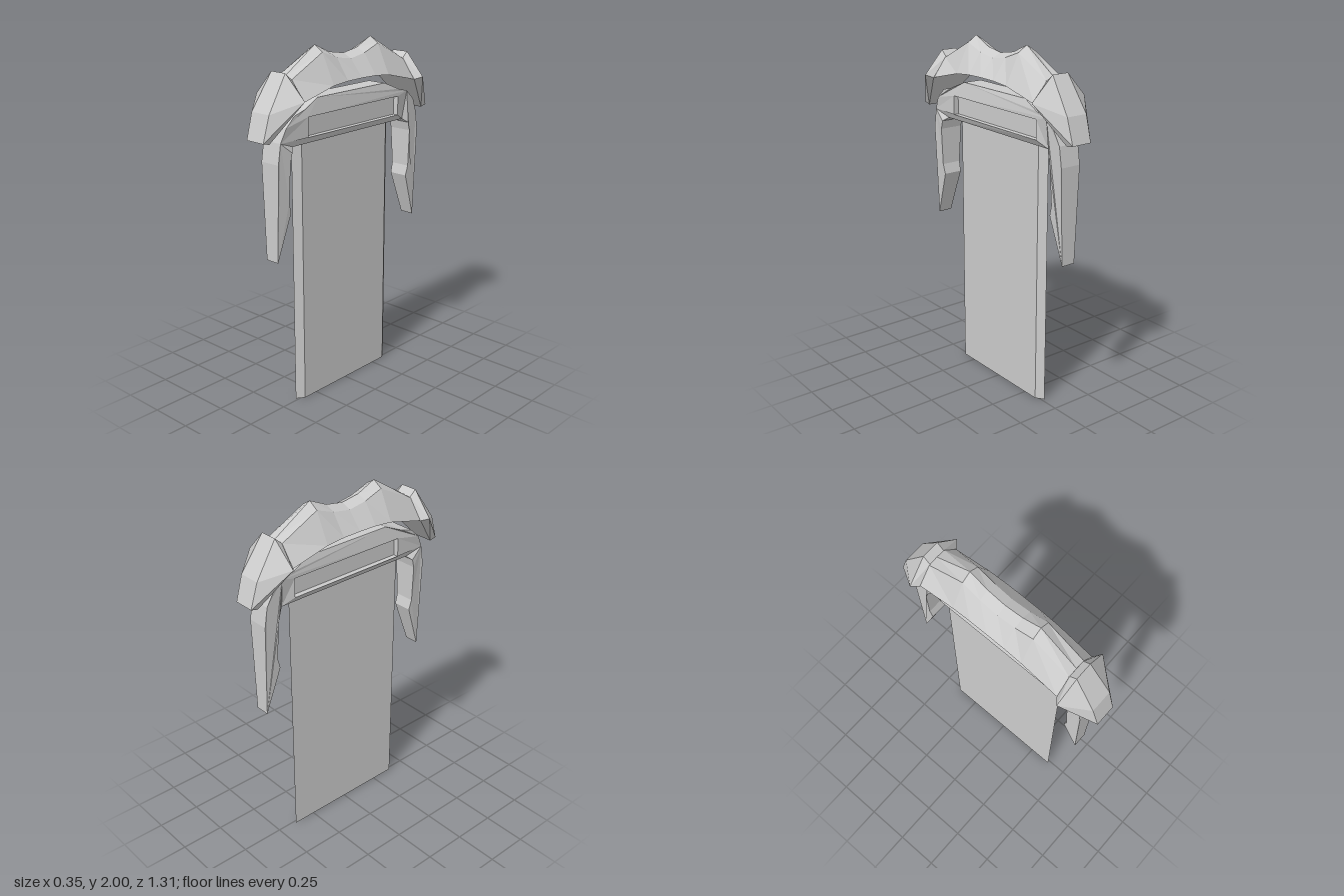
import * as THREE from 'three';
import { ConvexGeometry } from 'three/addons/geometries/ConvexGeometry.js';

const mat = new THREE.MeshStandardMaterial({ color: 0xcccccc, flatShading: true });

function part(name, geometry) {
  geometry.computeVertexNormals();
  const mesh = new THREE.Mesh(geometry, mat);
  mesh.name = name;
  return mesh;
}

const toShape = pts => new THREE.Shape(pts.map(([x, y]) => new THREE.Vector2(x, y)));

// Flat slab whose two long edges are ground from one side only
function bladeGeometry() {
  const plan = toShape([[-0.016, -0.387], [0.016, -0.343], [0.016, 0.343], [-0.016, 0.387]]);
  const g = new THREE.ExtrudeGeometry(plan, { depth: 1.56, bevelEnabled: false });
  return g.rotateX(-Math.PI / 2);
}

// Half thickness of the guard at a given height and distance from its middle
function guardHalf(y, d) {
  if (Math.abs(y - 1.503) < 0.005) return 0.045;   // chamfered underside
  if (y > 1.72) return 0.057;                      // narrowed top
  const t = THREE.MathUtils.clamp((y - 0.89) / 0.54, 0, 1);
  return 0.042 + (d > 0.54 ? 0.02 : 0.028) * t;    // arms taper to their tips
}

// Crescent guard with drooping arms and a long slot
function guardGeometry() {
  const mid = 0.01;
  const half = [
    [0.27, 1.737], [0.38, 1.69], [0.455, 1.67], [0.515, 1.615], [0.55, 1.54], [0.568, 1.43],
    [0.567, 0.893], [0.477, 1.155], [0.493, 1.213], [0.488, 1.43], [0.475, 1.48], [0.445, 1.503],
  ];
  const outline = [
    ...half.map(([s, y]) => [mid + s, y]),
    ...half.slice().reverse().map(([s, y]) => [mid - s, y]),
  ];
  const shape = toShape(outline);
  shape.holes.push(toShape([[-0.345, 1.54], [0.385, 1.54], [0.385, 1.648], [-0.345, 1.648]]));
  const g = new THREE.ExtrudeGeometry(shape, { depth: 2, bevelEnabled: false });
  g.translate(0, 0, -1);
  const p = g.attributes.position;
  for (let i = 0; i < p.count; i++) {
    p.setZ(i, p.getZ(i) * guardHalf(p.getY(i), Math.abs(p.getX(i) - mid)));
  }
  return g.rotateY(Math.PI / 2);
}

// Ridged bridge: five-cornered sections joined along z
function bridgeGeometry() {
  // distance from middle, ridge, shoulder and bottom heights
  const half = [
    [0.445, 1.86, 1.853, 1.745], [0.22, 2.0, 1.965, 1.8],
    [0.11, 1.95, 1.925, 1.81], [0, 1.932, 1.907, 1.812],
  ];
  const rows = [...half.map(([z, ...h]) => [-z, ...h]), ...half.slice(0, 3).reverse()];
  const pos = [], idx = [], n = 5;
  rows.forEach(([z, ridge, shoulder, bottom], r) => {
    pos.push(0, ridge, z, -0.055, shoulder, z, -0.135, bottom, z,
      0.135, bottom, z, 0.055, shoulder, z);
    if (r === rows.length - 1) return;
    for (let k = 0; k < n; k++) {
      const a = r * n + k, b = r * n + (k + 1) % n;
      idx.push(a, b, b + n, a, b + n, a + n);
    }
  });
  // end faces
  const last = (rows.length - 1) * n;
  for (let k = 1; k < n - 1; k++) {
    idx.push(0, k + 1, k, last, last + k, last + k + 1);
  }
  const g = new THREE.BufferGeometry();
  g.setAttribute('position', new THREE.Float32BufferAttribute(pos, 3));
  g.setIndex(idx);
  return g.toNonIndexed();
}

// Faceted cap at one end of the bridge
function capGeometry(side) {
  const corners = [
    [0.05, 1.89, 0.485], [0.05, 1.855, 0.445], [0.138, 1.745, 0.445], [0.175, 1.76, 0.475],
    [0.063, 1.7, 0.615], [0.06, 1.56, 0.657], [0.06, 1.55, 0.615],
  ];
  const pts = corners.flatMap(([x, y, z]) =>
    [1, -1].map(m => new THREE.Vector3(m * x, y, side * z)));
  return new ConvexGeometry(pts);
}

export function createModel() {
  const model = new THREE.Group();
  model.name = 'bladeHead';

  model.add(part('blade', bladeGeometry()));
  model.add(part('guard', guardGeometry()));

  // Panel closing the slot from both sides
  const panel = part('slotPanel', new THREE.BoxGeometry(0.08, 0.13, 0.75));
  panel.position.set(0, 1.594, -0.02);
  model.add(panel);

  model.add(part('bridge', bridgeGeometry()));
  model.add(part('frontCap', capGeometry(1)));
  model.add(part('backCap', capGeometry(-1)));
  return model;
}
